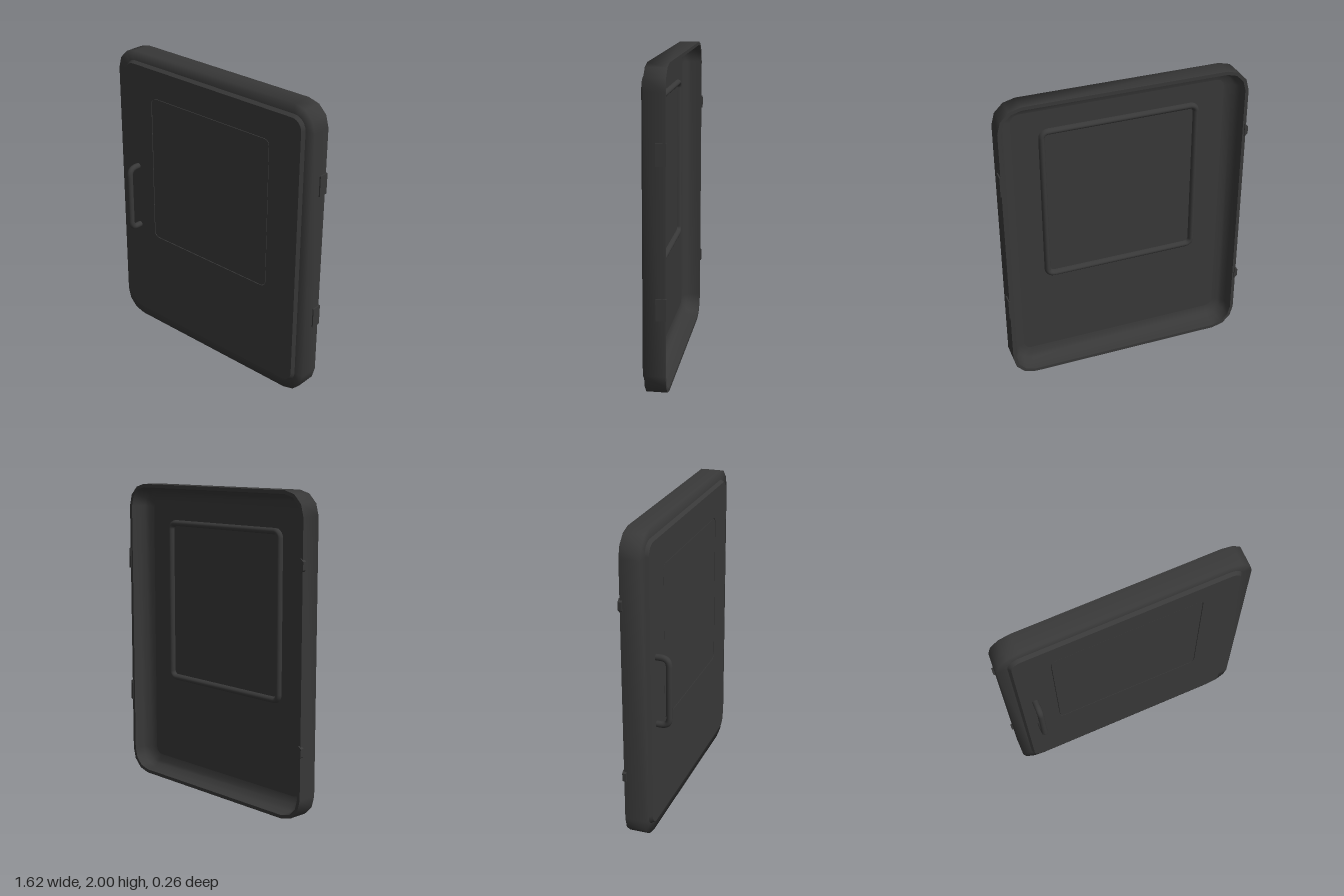
import * as THREE from 'three';

const material = new THREE.MeshStandardMaterial({ color: 0x383838, side: THREE.DoubleSide });

// Counter-clockwise rounded rectangle centred on (0, cy)
function outline(hw, hh, r, cy, segs) {
  const pts = [];
  const corners = [[1, -1, -90], [1, 1, 0], [-1, 1, 90], [-1, -1, 180]];
  for (const [sx, sy, start] of corners) {
    for (let i = 0; i <= segs; i++) {
      const a = THREE.MathUtils.degToRad(start + 90 * i / segs);
      pts.push(new THREE.Vector2(sx * (hw - r) + r * Math.cos(a), cy + sy * (hh - r) + r * Math.sin(a)));
    }
  }
  return pts;
}

// Surface through rounded-rectangle rings; each profile entry is [inset, z]
function loft(hw, hh, r, cy, segs, profile, minR = 0.05) {
  const pos = [], idx = [], n = 4 * (segs + 1);
  for (const [inset, z] of profile) {
    for (const p of outline(hw - inset, hh - inset, Math.max(r - inset, minR), cy, segs)) pos.push(p.x, p.y, z);
  }
  for (let k = 0; k < profile.length - 1; k++) {
    for (let i = 0; i < n; i++) {
      const j = (i + 1) % n, a = k * n + i, b = k * n + j;
      idx.push(a, a + n, b, b, a + n, b + n);
    }
  }
  const g = new THREE.BufferGeometry();
  g.setAttribute('position', new THREE.Float32BufferAttribute(pos, 3));
  g.setIndex(idx);
  g.computeVertexNormals();
  return g;
}

function slab(shape, z0, z1) {
  return new THREE.ExtrudeGeometry(shape, { depth: z1 - z0, bevelEnabled: false }).translate(0, 0, z0);
}

export function createModel() {
  const group = new THREE.Group();
  const add = (name, geometry, x = 0, y = 0, z = 0) => {
    const mesh = new THREE.Mesh(geometry, material);
    mesh.name = name;
    mesh.position.set(x, y, z);
    group.add(mesh);
  };
  const door = [0.8, 1, 0.15, 1, 3];
  const winY = 1.22, winW = 0.49, winH = 0.51;

  // Hollow door shell, open at the back
  add('outerShell', loft(...door, [[0.085, 0.008], [0, 0.008], [0, -0.122]]));
  add('backLip', loft(...door, [[0, -0.122], [0.022, -0.122]]));
  add('innerWall', loft(...door, [[0.022, -0.122], [0.026, -0.05], [0.05, -0.03], [0.065, -0.008], [0.11, 0]]));

  // Raised front panel with a window opening
  const panel = new THREE.Shape(outline(0.72, 0.92, 0.07, 1, 6));
  panel.holes.push(new THREE.Path(outline(winW, winH, 0.04, winY, 5).reverse()));
  add('frontPanel', slab(panel, 0, 0.03));
  add('panelBevel', loft(0.735, 0.935, 0.085, 1, 6, [[0.015, 0.03], [0, 0.008]]));

  // Flush window pane with a fine gap around it
  add('windowPane', slab(new THREE.Shape(outline(winW - 0.004, winH - 0.004, 0.036, winY, 5)), 0.002, 0.029));

  // Rounded moulding around the window on the inside
  const moulding = [];
  for (let i = 0; i <= 8; i++) {
    const a = Math.PI * i / 8;
    moulding.push([0.02 - 0.02 * Math.cos(a), 0.003 - 0.028 * Math.sin(a)]);
  }
  add('windowMoulding', loft(winW + 0.034, winH + 0.034, 0.06, winY, 5, moulding, 0.02));

  // Bent bar handle
  const v = (y, z) => new THREE.Vector3(-0.63, y, z);
  const path = new THREE.CurvePath();
  path.add(new THREE.LineCurve3(v(0.755, 0.01), v(0.755, 0.06)));
  path.add(new THREE.QuadraticBezierCurve3(v(0.755, 0.06), v(0.755, 0.112), v(0.807, 0.112)));
  path.add(new THREE.LineCurve3(v(0.807, 0.112), v(1.148, 0.112)));
  path.add(new THREE.QuadraticBezierCurve3(v(1.148, 0.112), v(1.2, 0.112), v(1.2, 0.06)));
  path.add(new THREE.LineCurve3(v(1.2, 0.06), v(1.2, 0.01)));
  add('handle', new THREE.TubeGeometry(path, 80, 0.02, 12));

  // Hinge plates on the left edge
  for (const y of [0.57, 1.495]) add('hingePlate', new THREE.BoxGeometry(0.014, 0.135, 0.065), 0.801, y, -0.095);

  // Small latch catches on the right edge, tapered outward
  for (const y of [0.45, 1.57]) {
    const catchGeo = new THREE.BoxGeometry(0.022, 0.085, 0.024);
    const p = catchGeo.attributes.position;
    for (let i = 0; i < p.count; i++) if (p.getX(i) < 0) p.setY(i, p.getY(i) * 0.6);
    catchGeo.computeVertexNormals();
    add('latchCatch', catchGeo, -0.8, y, -0.118);
  }
  return group;
}
